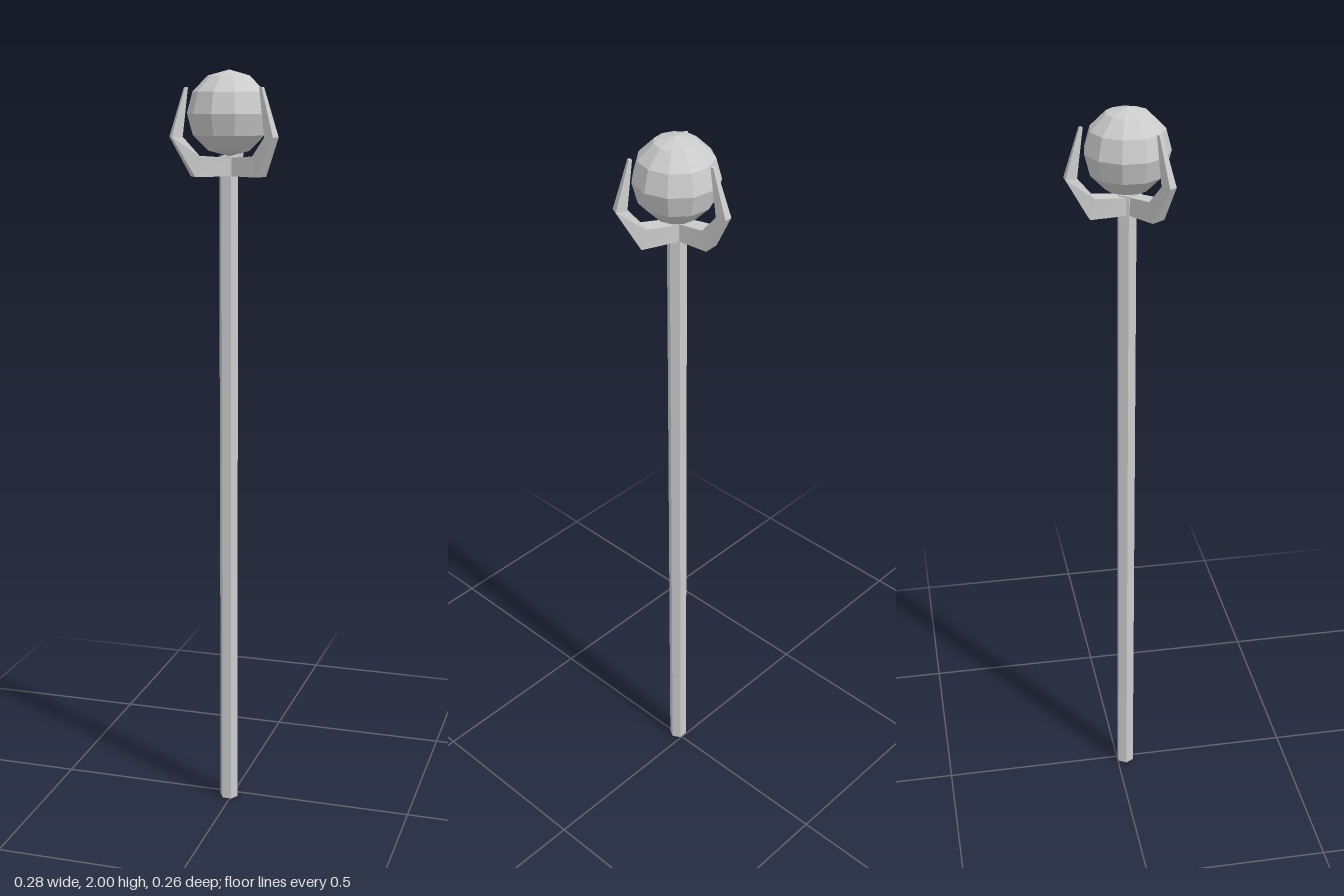
import * as THREE from 'three';

const material = new THREE.MeshStandardMaterial({ color: 0xcccccc, flatShading: true });

// Claw sections from hub to tip: outer [r, y], inner [r, y], sideways centre, half width
const CLAW = [
  { outer: [0, 1.735], inner: [0, 1.78], side: -0.005, half: 0.018 },
  { outer: [0.1, 1.735], inner: [0.087, 1.787], side: -0.009, half: 0.02 },
  { outer: [0.156, 1.835], inner: [0.127, 1.835], side: 0, half: 0.011 },
  { outer: [0.117, 1.957], inner: [0.109, 1.957], side: 0.005, half: 0.005 },
];

// Bend a segmented box through the claw sections
function clawGeometry() {
  const last = CLAW.length - 1;
  const geometry = new THREE.BoxGeometry(1, 1, 1, last, 1, 1);
  const p = geometry.attributes.position;
  for (let i = 0; i < p.count; i++) {
    const s = CLAW[Math.round((p.getX(i) + 0.5) * last)];
    const [r, y] = p.getY(i) < 0 ? s.outer : s.inner;
    p.setXYZ(i, r, y, s.side + Math.sign(p.getZ(i)) * s.half);
  }
  geometry.computeVertexNormals();
  return geometry;
}

export function createModel() {
  const group = new THREE.Group();
  const add = (name, geometry, x, y, z, turn) => {
    const mesh = new THREE.Mesh(geometry, material);
    mesh.name = name;
    mesh.position.set(x, y, z);
    mesh.rotation.y = turn;
    group.add(mesh);
  };

  // Hexagonal shaft
  add('shaft', new THREE.CylinderGeometry(0.025, 0.025, 1.785, 6), -0.008, 0.8925, 0.024, Math.PI / 2);

  // Faceted orb
  add('orb', new THREE.SphereGeometry(0.108, 11, 6), -0.006, 1.892, 0.024, Math.PI);

  // Three claws holding the orb
  const claw = clawGeometry();
  for (let i = 0; i < 3; i++) {
    const angle = THREE.MathUtils.degToRad(25.4 + i * 120);
    add('claw' + (i + 1), claw, -0.006, 0, 0.024, -angle);
  }
  return group;
}
